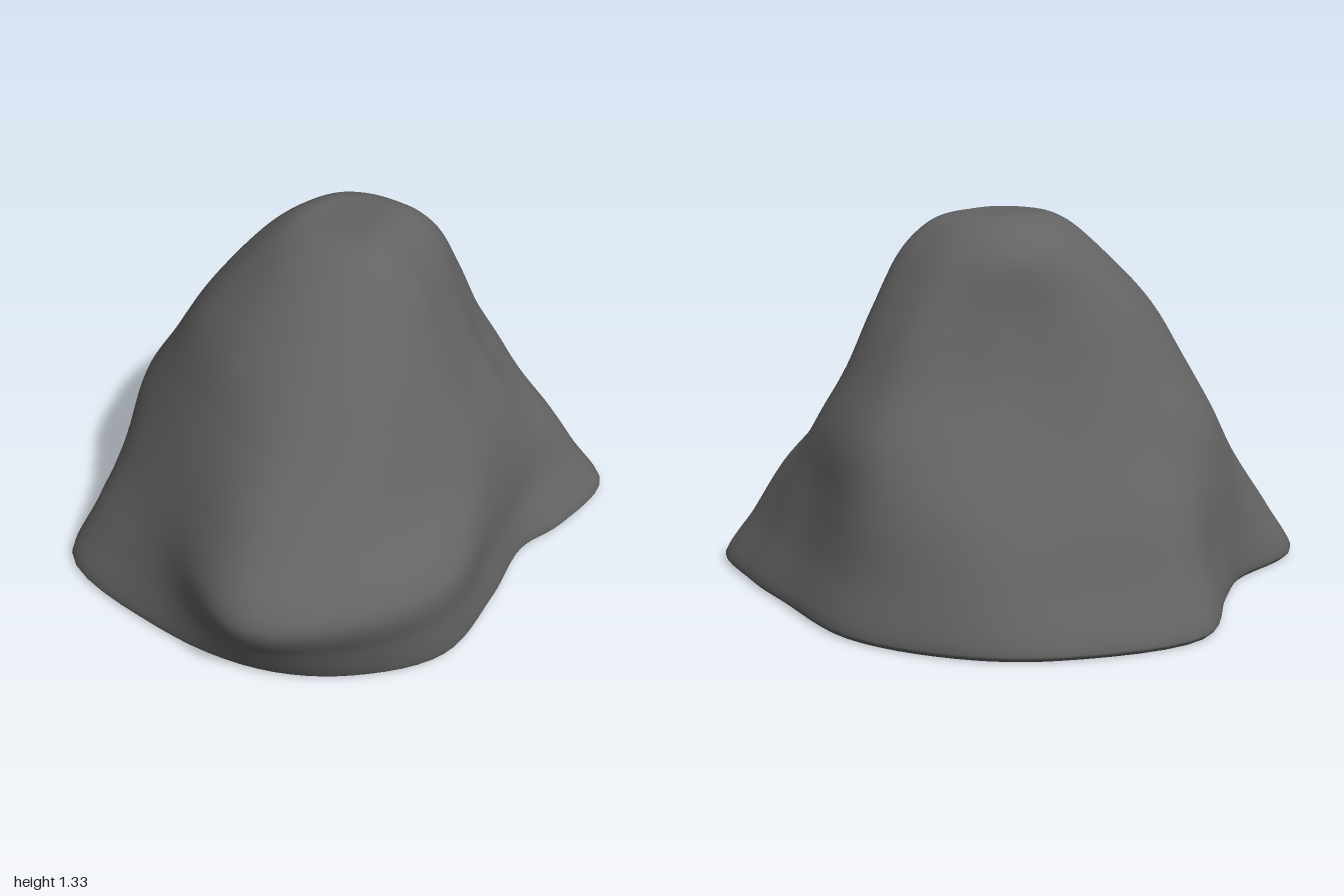
import * as THREE from 'three';

const COLUMNS = 102, ROWS = 80;
const CENTRE_Z = -0.15; // the sections are measured around the summit

// Directions of the radii in degrees, from +x towards +z
const ANGLES = [0, 22, 43, 64, 84, 108, 137, 155, 170, 190, 222, 245, 272, 300, 315, 331, 347];

// Horizontal sections: height and radii
const SECTIONS = [
  { y: 0.02, r: [0.77, 0.81, 0.94, 0.97, 0.99, 1.01, 1.115, 0.88, 0.865, 0.96, 0.87, 0.845, 0.85, 0.86, 0.945, 1.07, 0.895] },
  { y: 0.20, r: [0.73, 0.78, 0.95, 1.03, 1.075, 0.98, 1.01, 0.865, 0.83, 0.88, 0.78, 0.79, 0.79, 0.79, 0.86, 0.95, 0.79] },
  { y: 0.40, r: [0.70, 0.76, 0.95, 1.08, 1.155, 0.92, 0.88, 0.83, 0.80, 0.79, 0.67, 0.70, 0.74, 0.73, 0.78, 0.82, 0.73] },
  { y: 0.60, r: [0.63, 0.69, 0.76, 0.89, 0.98, 0.82, 0.77, 0.77, 0.74, 0.64, 0.52, 0.56, 0.68, 0.68, 0.68, 0.64, 0.64] },
  { y: 0.80, r: [0.51, 0.57, 0.64, 0.73, 0.775, 0.70, 0.66, 0.65, 0.61, 0.51, 0.41, 0.44, 0.56, 0.58, 0.56, 0.51, 0.51] },
  { y: 1.00, r: [0.41, 0.46, 0.52, 0.57, 0.59, 0.57, 0.54, 0.52, 0.49, 0.41, 0.34, 0.37, 0.455, 0.48, 0.47, 0.43, 0.41] },
  { y: 1.20, r: [0.31, 0.34, 0.37, 0.385, 0.39, 0.375, 0.35, 0.34, 0.33, 0.31, 0.30, 0.31, 0.33, 0.35, 0.365, 0.35, 0.32] },
  { y: 1.30, r: [0.22, 0.235, 0.26, 0.26, 0.25, 0.24, 0.23, 0.22, 0.21, 0.20, 0.20, 0.21, 0.22, 0.24, 0.26, 0.25, 0.23] },
];

// Closed smooth loop around one section
function sectionLoop({ y, r }, scale = 1, height = y) {
  const points = r.map((radius, i) => {
    const a = THREE.MathUtils.degToRad(ANGLES[i]);
    return new THREE.Vector3(
      radius * scale * Math.cos(a), height, CENTRE_Z + radius * scale * Math.sin(a));
  });
  const curve = new THREE.CatmullRomCurve3(points, true);
  return Array.from({ length: COLUMNS }, (_, i) => curve.getPoint(i / COLUMNS));
}

function makeGeometry(positions, index) {
  const geometry = new THREE.BufferGeometry();
  geometry.setAttribute('position', new THREE.Float32BufferAttribute(positions, 3));
  geometry.setIndex(index);
  geometry.computeVertexNormals();
  return geometry;
}

export function createModel() {
  const group = new THREE.Group();
  group.name = 'rock';
  const stone = new THREE.MeshStandardMaterial({ color: 0x636363 });
  stone.name = 'dark grey stone';

  // Rounded foot, body sections and flattened summit
  const top = SECTIONS[SECTIONS.length - 1];
  const loops = [
    sectionLoop(SECTIONS[0], 0.985, 0),
    ...SECTIONS.map((s) => sectionLoop(s)),
    sectionLoop(top, 0.68, 1.33),
    sectionLoop(top, 0.25, 1.333),
  ];

  // Smooth skin, joined column to column
  const positions = [], index = [];
  for (let c = 0; c < COLUMNS; c++) {
    const rise = new THREE.CatmullRomCurve3(loops.map((loop) => loop[c]));
    for (let k = 0; k <= ROWS; k++) positions.push(...rise.getPoint(k / ROWS).toArray());
  }
  const at = (c, k) => (c % COLUMNS) * (ROWS + 1) + k;
  const summit = COLUMNS * (ROWS + 1);
  positions.push(0, 1.333, CENTRE_Z);
  for (let c = 0; c < COLUMNS; c++) {
    for (let k = 0; k < ROWS; k++) {
      index.push(at(c, k), at(c, k + 1), at(c + 1, k));
      index.push(at(c + 1, k), at(c, k + 1), at(c + 1, k + 1));
    }
    index.push(at(c, ROWS), summit, at(c + 1, ROWS));
  }
  const body = new THREE.Mesh(makeGeometry(positions, index), stone);
  body.name = 'rockBody';
  group.add(body);

  // Flat underside
  const basePositions = [0, 0, CENTRE_Z], baseIndex = [];
  loops[0].forEach((p, c) => {
    basePositions.push(p.x, p.y, p.z);
    baseIndex.push(0, c + 1, ((c + 1) % COLUMNS) + 1);
  });
  const base = new THREE.Mesh(makeGeometry(basePositions, baseIndex), stone);
  base.name = 'rockUnderside';
  group.add(base);

  return group;
}
